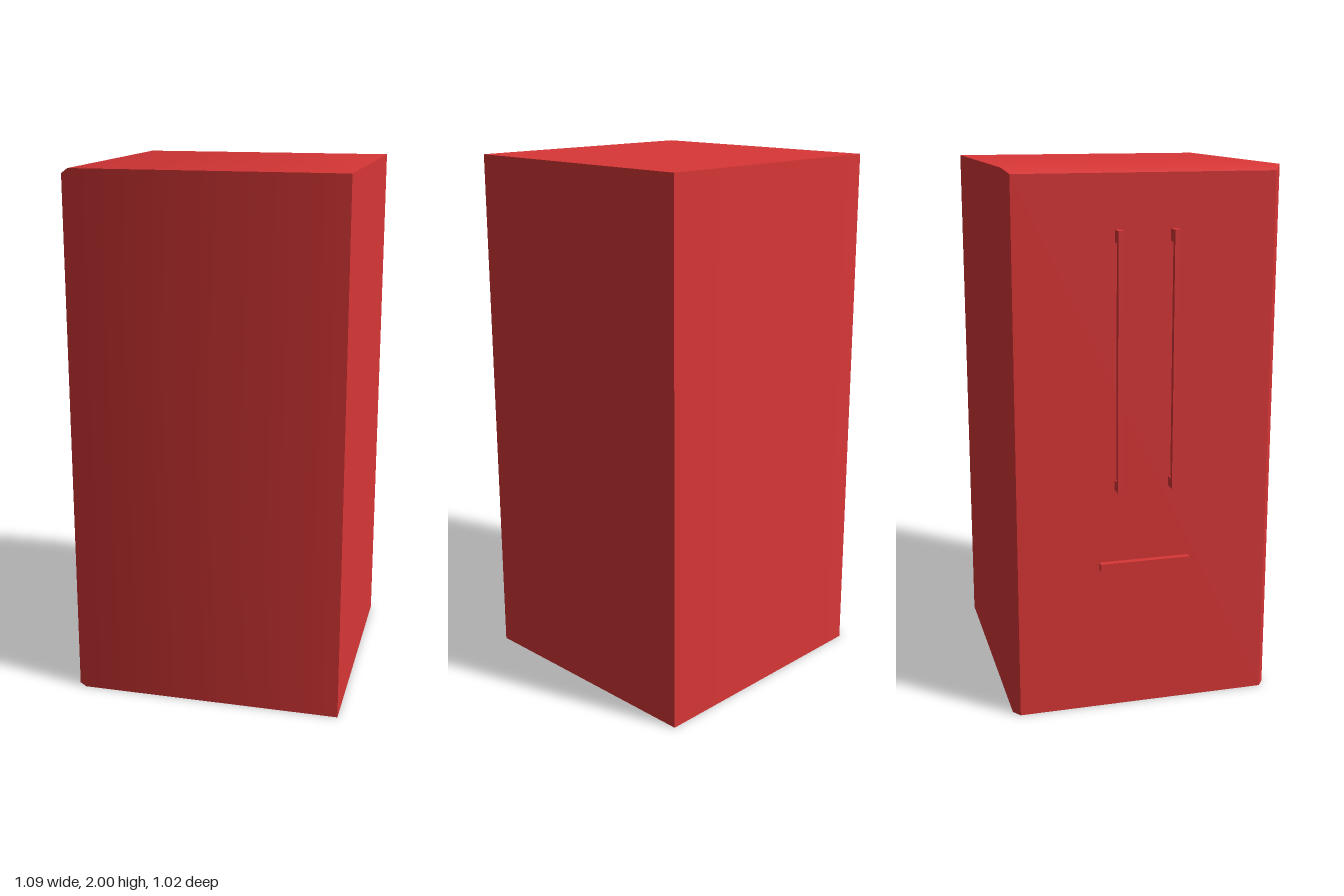
import * as THREE from 'three';

const material = new THREE.MeshStandardMaterial({ color: 0xd83636, side: THREE.DoubleSide });

function addMesh(parent, name, geometry) {
  const mesh = new THREE.Mesh(geometry, material);
  mesh.name = name;
  parent.add(mesh);
  return mesh;
}

// Open-bottomed shell: an inverted U swept along x, bevelled around the door face.
function shellGeometry() {
  const sections = [
    { x: 0.531, w: 0.497, h: 2, tilt: 0 },
    { x: -0.463, w: 0.497, h: 2, tilt: 0.27 },
    { x: -0.496, w: 0.473, h: 1.98, tilt: 0.58 },
  ];
  const loops = sections.map(({ x, w, h }) => [[x, 0, w], [x, h, w], [x, h, -w], [x, 0, -w]]);
  const position = [], normal = [], index = [];
  const quad = (corners, normals) => {
    const n = position.length / 3;
    corners.forEach((c) => position.push(...c));
    normals.forEach((v) => normal.push(...new THREE.Vector3(...v).normalize().toArray()));
    index.push(n, n + 1, n + 2, n, n + 2, n + 3);
  };

  // Side walls and top, shaded smoothly over the bevel
  [[0, 0, 1], [0, 1, 0], [0, 0, -1]].forEach(([, ny, nz], k) => {
    for (let i = 0; i < 2; i++) {
      const a = [-sections[i].tilt, ny, nz], b = [-sections[i + 1].tilt, ny, nz];
      quad([loops[i][k], loops[i][k + 1], loops[i + 1][k + 1], loops[i + 1][k]], [a, a, b, b]);
    }
  });

  // Rear panel and door face
  quad([...loops[0]].reverse(), Array(4).fill([1, 0, 0]));
  quad(loops[2], Array(4).fill([-1, 0, 0]));

  const geometry = new THREE.BufferGeometry();
  geometry.setAttribute('position', new THREE.Float32BufferAttribute(position, 3));
  geometry.setAttribute('normal', new THREE.Float32BufferAttribute(normal, 3));
  geometry.setIndex(index);
  return geometry;
}

// C-shaped pull with a foot at each end
function doorHandleGeometry() {
  const thickness = 0.023;
  const shape = new THREE.Shape([
    [-0.496, 0.854], [-0.544, 0.854], [-0.544, 1.788], [-0.496, 1.788],
    [-0.496, 1.745], [-0.523, 1.745], [-0.523, 0.89], [-0.496, 0.89],
  ].map(([x, y]) => new THREE.Vector2(x, y)));
  return new THREE.ExtrudeGeometry(shape, { depth: thickness, bevelEnabled: false })
    .translate(0, 0, -thickness / 2);
}

export function createModel() {
  const group = new THREE.Group();
  group.name = 'refrigerator';

  const cabinet = new THREE.Group();
  cabinet.name = 'cabinet';
  cabinet.position.z = -0.0025;
  cabinet.rotation.y = -0.027; // stands slightly askew
  group.add(cabinet);

  addMesh(cabinet, 'shell', shellGeometry());

  // Pair of upright door handles
  for (const side of [-1, 1]) {
    addMesh(cabinet, side > 0 ? 'frontDoorHandle' : 'backDoorHandle', doorHandleGeometry())
      .position.z = side * 0.101;
  }

  // Low drawer pull
  addMesh(cabinet, 'drawerHandle', new THREE.BoxGeometry(0.024, 0.026, 0.34))
    .position.set(-0.508, 0.565, 0);

  return group;
}
